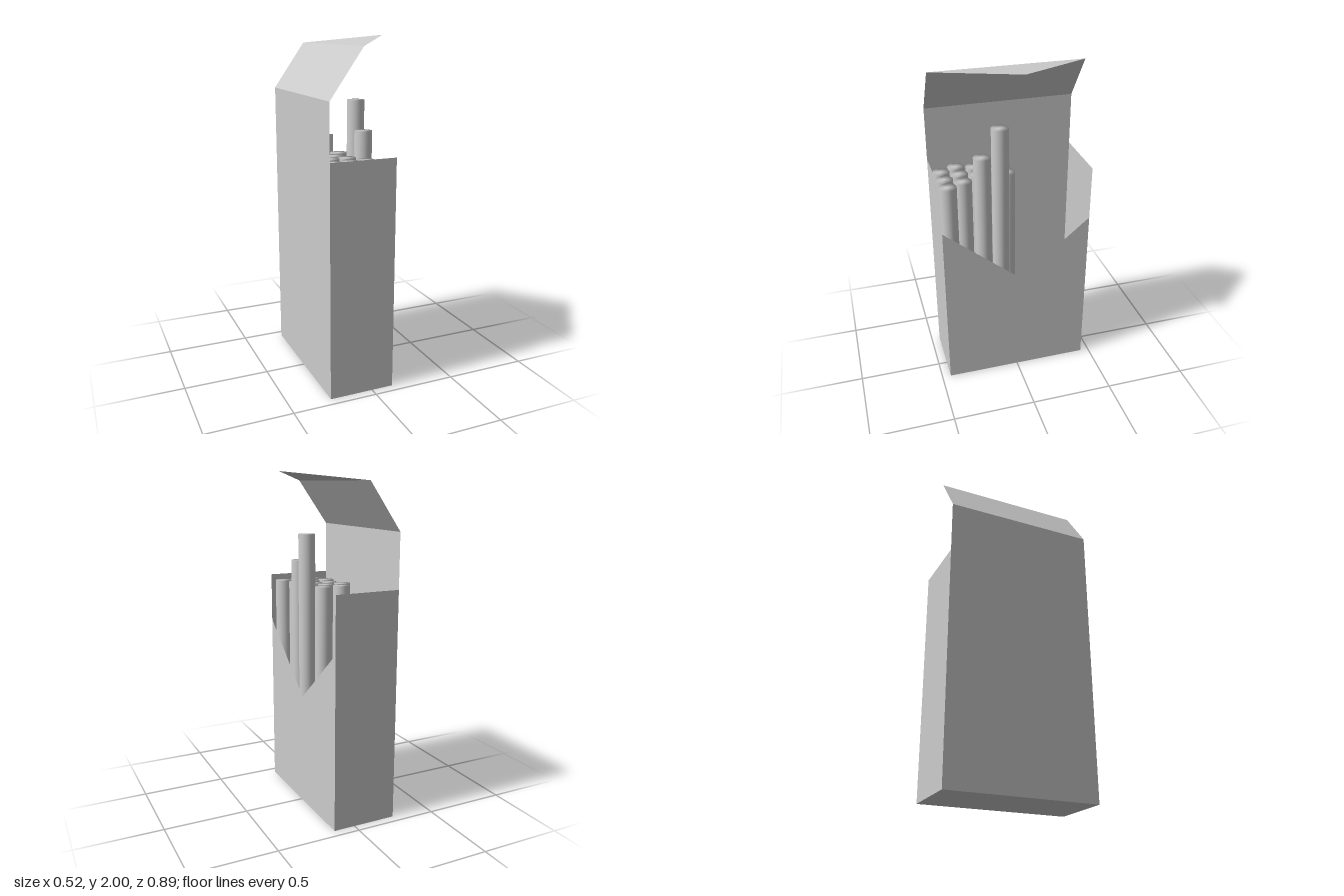
import * as THREE from 'three';
import { mergeVertices } from 'three/addons/utils/BufferGeometryUtils.js';

const card = new THREE.MeshStandardMaterial({ color: 0xcccccc, side: THREE.DoubleSide });
card.name = 'light grey';

// Flat sheet: a fan of triangles around the first corner, corners counter-clockwise from outside
function panel(name, corners) {
  const pos = [];
  for (let i = 1; i < corners.length - 1; i++) pos.push(...corners[0], ...corners[i], ...corners[i + 1]);
  const g = new THREE.BufferGeometry();
  g.setAttribute('position', new THREE.Float32BufferAttribute(pos, 3));
  g.computeVertexNormals();
  const mesh = new THREE.Mesh(g, card);
  mesh.name = name;
  return mesh;
}

// Round stick with normals blended over its end edges
function stick(x, z, top) {
  const base = 0.01;
  let g = new THREE.CylinderGeometry(0.05, 0.05, top - base, 32);
  g.deleteAttribute('uv');
  g.deleteAttribute('normal');
  g = mergeVertices(g, 1e-4);
  g.computeVertexNormals();
  const mesh = new THREE.Mesh(g, card);
  mesh.position.set(x, (top + base) / 2, z);
  mesh.name = 'stick';
  return mesh;
}

export function createModel() {
  const model = new THREE.Group();
  model.name = 'openCarton';
  const B = -0.26, F = 0.13, Z = 0.447, wall = 1.365, back = 1.68;

  // Carton
  const carton = new THREE.Group();
  carton.name = 'carton';
  carton.add(
    panel('bottom', [[B, 0, -Z], [F, 0, -Z], [F, 0, Z], [B, 0, Z]]),
    panel('leftWall', [[B, 0, Z], [F, 0, Z], [F, wall, Z], [B, wall, Z]]),
    panel('rightWall', [[F, 0, -Z], [B, 0, -Z], [B, wall, -Z], [F, wall, -Z]]),
    panel('tallWall', [[B, 0, -Z], [B, 0, Z], [B, back, Z], [B, back, -Z]]),
    panel('notchedWall', [[F, 0.68, -0.02], [F, 1.07, Z], [F, 0, Z], [F, 0, -Z], [F, 1.04, -Z]]),
  );

  // Raised lid: sloping strip and pointed flap
  const lid = new THREE.Group();
  lid.name = 'lid';
  lid.add(
    panel('lidStrip', [[B, back, -Z], [B, back, Z], [-0.07, 1.95, Z], [-0.07, 1.95, -Z]]),
    panel('lidFlap', [[-0.07, 1.95, -Z], [-0.07, 1.95, Z], [0.257, 2, 0]]),
  );

  // Sticks in staggered rows, two of them pulled up
  const sticks = new THREE.Group();
  sticks.name = 'sticks';
  const low = 1.333;
  const layout = [
    [0.07, 0.39, low], [-0.03, 0.39, low], [-0.13, 0.39, low],
    [0.02, 0.292, low], [-0.08, 0.292, low], [-0.18, 0.292, low],
    [0.05, 0.187, 1.48], [-0.05, 0.19, low], [-0.15, 0.19, low],
    [0.05, 0.082, 1.643], [-0.09, 0.105, low], [-0.2, 0.105, low],
    [-0.03, 0.022, low], [-0.15, 0.022, low],
  ];
  for (const [x, z, top] of layout) sticks.add(stick(x, z, top));

  model.add(carton, lid, sticks);
  return model;
}
